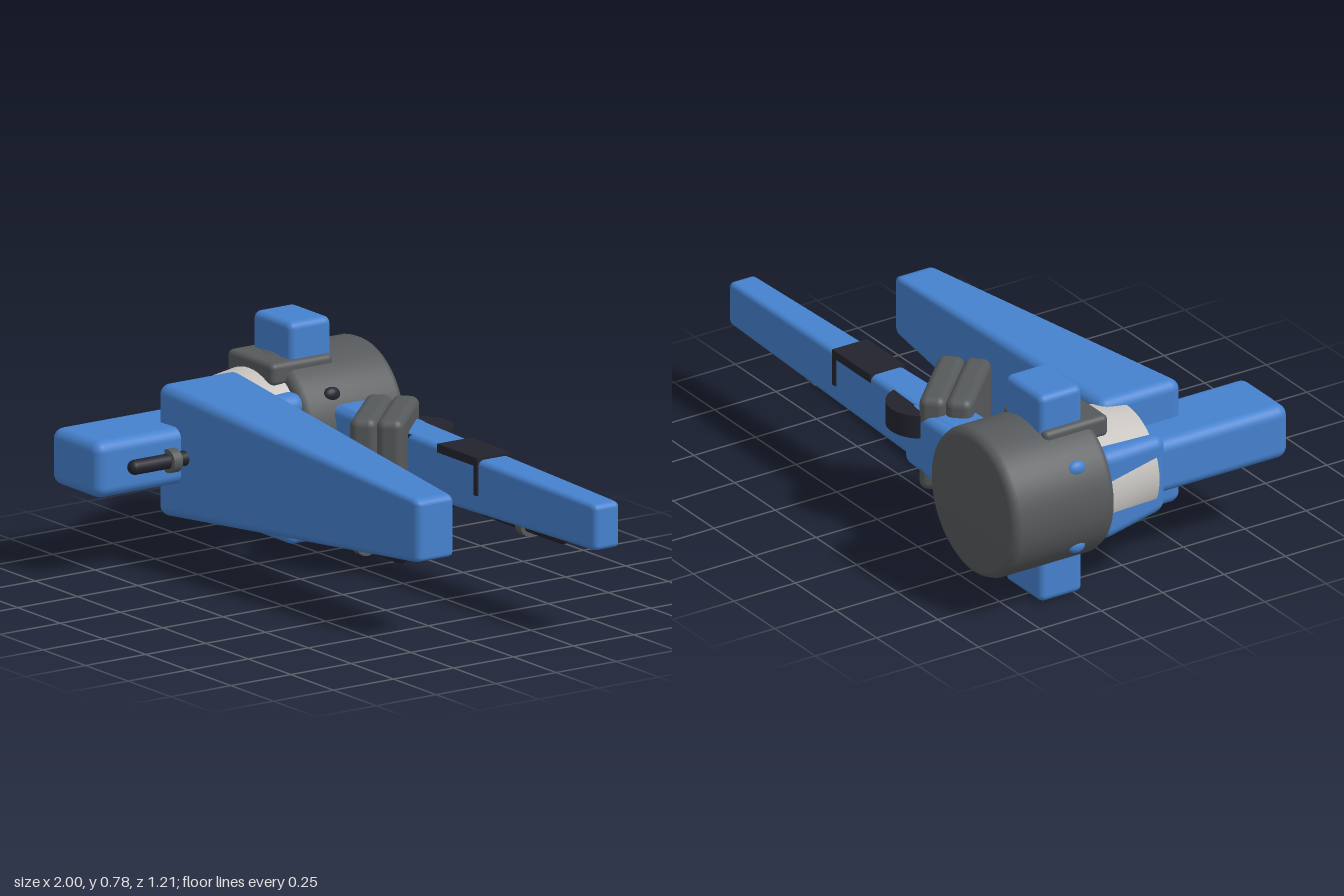
import * as THREE from 'three';
import { RoundedBoxGeometry } from 'three/addons/geometries/RoundedBoxGeometry.js';

const mat = (name, color) => Object.assign(new THREE.MeshStandardMaterial({ color }), { name });

export function createModel() {
  const root = new THREE.Group();
  root.name = 'model';
  const blue = mat('blue', 0x4682cf);
  const grey = mat('grey', 0x56595b);
  const dark = mat('dark', 0x23232e);
  const light = mat('light', 0xc6c3bf);
  const CX = -0.735, CY = 0.393;

  const add = (name, geo, material, x = 0, y = 0, z = 0) => {
    const m = new THREE.Mesh(geo, material);
    m.name = name;
    m.position.set(x, y, z);
    root.add(m);
    return m;
  };
  // rounded block given by its limits on each axis
  const block = (name, material, [x0, x1], [y0, y1], [z0, z1], r = 0.025) =>
    add(name, new RoundedBoxGeometry(x1 - x0, y1 - y0, z1 - z0, 4, r), material,
      (x0 + x1) / 2, (y0 + y1) / 2, (z0 + z1) / 2);
  // rounded beam along x, narrowing linearly from [height, depth] to [height, depth]
  const beam = (length, [h0, d0], [h1, d1], r) => {
    const geo = new RoundedBoxGeometry(length, h0, d0, 4, r);
    const p = geo.attributes.position;
    for (let i = 0; i < p.count; i++) {
      const t = p.getX(i) / length + 0.5;
      p.setY(i, p.getY(i) * (1 + t * (h1 / h0 - 1)));
      p.setZ(i, p.getZ(i) * (1 + t * (d1 / d0 - 1)));
    }
    return geo;
  };
  // round-ended rod with a collar; runs along x or z
  const rod = (name, length, r, collar, x, y, z, alongZ = false) => {
    const g = new THREE.Group();
    g.name = name;
    const bar = new THREE.Mesh(new THREE.CapsuleGeometry(r, length - 2 * r, 6, 20), dark);
    bar.name = name + 'Bar';
    g.add(bar);
    if (collar !== null) {
      const ring = new THREE.Mesh(new THREE.CylinderGeometry(r * 1.6, r * 1.6, 0.035, 24), grey);
      ring.name = name + 'Collar';
      ring.position.y = collar;
      g.add(ring);
    }
    if (alongZ) g.rotation.x = Math.PI / 2;
    else g.rotation.z = -Math.PI / 2;
    g.position.set(x, y, z);
    root.add(g);
  };

  // rear drum with softened rims
  const R = 0.268, L = 0.208, c = 0.03;
  const profile = [[0, -L], [R - c, -L], [R - 0.3 * c, -L + 0.3 * c], [R, -L + c],
    [R, L - c], [R - 0.3 * c, L - 0.3 * c], [R - c, L], [0, L]].map(([x, y]) => new THREE.Vector2(x, y));
  add('drum', new THREE.LatheGeometry(profile, 48), grey, CX, CY, -0.395).rotation.x = Math.PI / 2;

  // pale core in front of the drum
  add('core', new THREE.CylinderGeometry(0.2, 0.235, 0.24, 48), light, CX, CY, -0.09).rotation.x = Math.PI / 2;

  // cradle around the core, narrowing forward, with a pale side stripe
  const cradle = add('cradle', beam(0.3, [0.34, 0.46], [0.28, 0.35], 0.045), blue, CX, CY, -0.07);
  cradle.rotation.y = -Math.PI / 2;
  for (const s of [-1, 1]) {
    const stripe = add('cradleStripe', new THREE.BoxGeometry(0.008, 0.018, 0.16), light,
      CX + s * 0.211, CY, -0.11);
    stripe.rotation.y = -s * 0.18;
  }

  // studs around the drum
  for (const sx of [-1, 1]) for (const sy of [-1, 1]) {
    const stud = add('stud', new THREE.SphereGeometry(0.035, 20, 14), sx > 0 && sy > 0 ? dark : blue,
      CX + sx * 0.215, CY + sy * 0.145, -0.32);
    stud.scale.set(0.6, 0.8, 1);
  }

  // upper and lower pads
  block('upperPlate', grey, [-0.868, -0.6], [0.575, 0.655], [-0.39, -0.13], 0.02);
  block('upperPad', blue, [-0.845, -0.62], [0.6, 0.782], [-0.395, -0.22]);
  block('lowerPad', blue, [-0.845, -0.62], [0, 0.18], [-0.395, -0.22]);

  // short forward arm with its side rod
  block('forwardArm', blue, [-0.875, -0.593], [0.292, 0.492], [0, 0.603], 0.04);
  rod('forwardRod', 0.4, 0.026, 0.02, -0.575, CY, 0.285, true);

  // large tapered front arm
  add('frontArm', beam(1.415, [0.47, 0.336], [0.216, 0.152], 0.04), blue, -0.024, 0.392, 0.094);
  rod('frontArmRod', 0.53, 0.028, 0.025, 0.235, 0.256, 0.095);

  // slim rear arm with its sleeve
  add('rearArm', beam(1.5, [0.23, 0.16], [0.162, 0.106], 0.027), blue, 0.247, 0.395, -0.396);
  add('rearSleeve', beam(0.42, [0.25, 0.2], [0.22, 0.17], 0.035), blue, -0.35, 0.385, -0.405);
  rod('rearArmRod', 0.5, 0.025, 0.02, 0.51, 0.303, -0.392);
  rod('rearInnerRod', 0.4, 0.025, null, -0.1, 0.285, -0.392);

  // band over the rear arm, with a narrow drop at its outer end
  add('bandTop', new THREE.BoxGeometry(0.235, 0.03, 0.142), dark, 0.21, 0.485, -0.396);
  add('bandDrop', new THREE.BoxGeometry(0.02, 0.13, 0.142), dark, 0.318, 0.432, -0.396);

  // pivot disc on the rear arm
  add('pivotDisc', new THREE.CylinderGeometry(0.125, 0.125, 0.085, 40), dark, -0.155, 0.453, -0.42);

  // turned double block clamped on the rear arm
  const clamp = new THREE.Group();
  clamp.name = 'clamp';
  for (const s of [-1, 1]) {
    const slab = new THREE.Mesh(new RoundedBoxGeometry(0.36, 0.352, 0.094, 4, 0.03), grey);
    slab.name = 'clampSlab';
    slab.position.z = s * 0.046;
    clamp.add(slab);
  }
  clamp.position.set(-0.197, 0.393, -0.313);
  clamp.rotation.y = -Math.PI / 4;
  root.add(clamp);

  return root;
}
